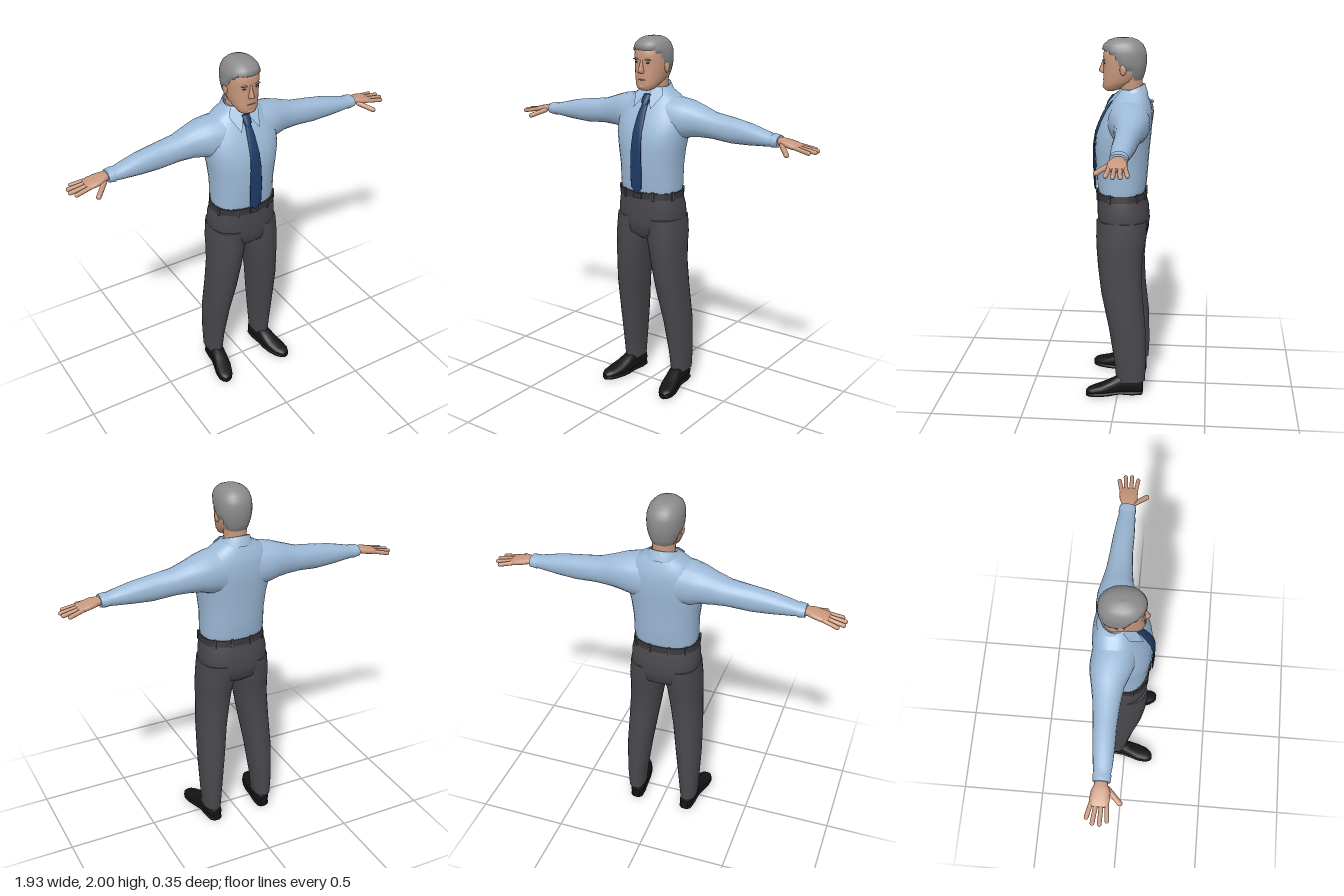
import * as THREE from 'three';

const mat = (name, color, side = THREE.FrontSide) => {
  const m = new THREE.MeshStandardMaterial({ color, side });
  m.name = name;
  return m;
};

// One superellipse ring across an axis. Row: [position, c0, c1, s0, s1];
// (c, s) are (z, x) for axis y, (y, z) for axis x and (x, y) for axis z.
function ring(axis, [pos, c0, c1, s0, s1], n, p) {
  const sup = (v) => Math.sign(v) * Math.pow(Math.abs(v), 2 / p);
  return Array.from({ length: n }, (_, j) => {
    const t = (j / n) * Math.PI * 2;
    const c = (c0 + c1) / 2 + sup(Math.cos(t)) * (c1 - c0) / 2;
    const s = (s0 + s1) / 2 + sup(Math.sin(t)) * (s1 - s0) / 2;
    if (axis === 'y') return new THREE.Vector3(s, pos, c);
    if (axis === 'x') return new THREE.Vector3(pos, c, s);
    return new THREE.Vector3(c, s, pos);
  });
}

// Skin over rings, with flat end caps
function skin(rings, caps = true) {
  const n = rings[0].length, pos = [], idx = [];
  rings.forEach((r) => r.forEach((v) => pos.push(v.x, v.y, v.z)));
  for (let i = 0; i < rings.length - 1; i++) {
    for (let j = 0; j < n; j++) {
      const a = i * n + j, b = i * n + (j + 1) % n;
      idx.push(a, b, b + n, a, b + n, a + n);
    }
  }
  if (caps) [rings[0], rings[rings.length - 1]].forEach((r, end) => {
    const base = pos.length / 3, mid = new THREE.Vector3();
    r.forEach((v) => { mid.add(v); pos.push(v.x, v.y, v.z); });
    mid.divideScalar(n);
    pos.push(mid.x, mid.y, mid.z);
    for (let j = 0; j < n; j++) {
      const a = base + j, b = base + (j + 1) % n;
      idx.push(...(end ? [a, b, base + n] : [b, a, base + n]));
    }
  });
  const g = new THREE.BufferGeometry();
  g.setAttribute('position', new THREE.Float32BufferAttribute(pos, 3));
  g.setIndex(idx);
  g.computeVertexNormals();
  return g;
}

const loft = (axis, rows, n = 24, p = 2.2) => skin(rows.map((r) => ring(axis, r, n, p)));
// Rows symmetric about x = 0: [y, back, front, half width]
const upright = (rows, n, p) => loft('y', rows.map(([y, b, f, w]) => [y, b, f, -w, w]), n, p);

function mirrored(geo) {
  const g = geo.clone().scale(-1, 1, 1), ix = g.index;
  for (let i = 0; i < ix.count; i += 3) {
    const a = ix.getX(i);
    ix.setX(i, ix.getX(i + 1));
    ix.setX(i + 1, a);
  }
  return g;
}

// Rounded stick whose ends lie at a and b
function stick(a, b, r) {
  const A = new THREE.Vector3(...a), B = new THREE.Vector3(...b), d = B.clone().sub(A);
  const g = new THREE.CapsuleGeometry(r, d.length() - 2 * r, 4, 10);
  g.applyQuaternion(new THREE.Quaternion().setFromUnitVectors(new THREE.Vector3(0, 1, 0), d.clone().normalize()));
  const m = A.add(B).multiplyScalar(0.5);
  return g.translate(m.x, m.y, m.z);
}

const blob = (x, y, z, rx, ry, rz) => new THREE.SphereGeometry(1, 16, 10).scale(rx, ry, rz).translate(x, y, z);

export function createModel() {
  const model = new THREE.Group();
  const shirt = mat('shirt blue', 0x9dbad8), collarMat = mat('collar blue', 0xa3bfdc, THREE.DoubleSide);
  const cloth = mat('trouser grey', 0x49474c), belt = mat('belt grey', 0x353438);
  const flesh = mat('skin', 0xc9987d), lip = mat('lip', 0xa06c58);
  const hairMat = mat('hair grey', 0x8b8b8d), tieMat = mat('tie navy', 0x1d3b66, THREE.DoubleSide);
  const black = mat('shoe black', 0x141415), eyeMat = mat('eye dark', 0x3d2c26);
  const add = (name, geo, material) => {
    const m = new THREE.Mesh(geo, material);
    m.name = name;
    model.add(m);
  };
  const pair = (name, geo, material) => {
    add(name + 'Left', geo, material);
    add(name + 'Right', mirrored(geo), material);
  };

  // Shirt body and sleeves
  add('shirtBody', upright([
    [1.155, -0.132, 0.115, 0.172], [1.2, -0.145, 0.124, 0.178], [1.3, -0.153, 0.131, 0.178],
    [1.4, -0.16, 0.137, 0.19], [1.48, -0.168, 0.13, 0.205], [1.55, -0.174, 0.106, 0.208],
    [1.61, -0.172, 0.076, 0.195], [1.65, -0.163, 0.05, 0.172], [1.685, -0.15, 0.03, 0.135],
    [1.71, -0.138, 0.015, 0.09], [1.73, -0.128, 0.0, 0.068]], 32, 2.35), shirt);
  pair('sleeve', loft('x', [
    [0.08, 1.44, 1.69, -0.165, 0.06], [0.16, 1.45, 1.68, -0.172, 0.055], [0.22, 1.47, 1.668, -0.168, 0.035],
    [0.28, 1.478, 1.648, -0.155, 0.012], [0.36, 1.48, 1.62, -0.14, 0], [0.48, 1.47, 1.605, -0.128, -0.008],
    [0.58, 1.475, 1.588, -0.12, -0.008], [0.68, 1.484, 1.562, -0.108, -0.012], [0.715, 1.487, 1.552, -0.102, -0.017],
    [0.72, 1.483, 1.556, -0.106, -0.013], [0.757, 1.488, 1.55, -0.102, -0.016]], 20), shirt);

  // Collar: a stand dipping at the front, with two folded points
  const band = (rx, rz, y, drop) => ring('y', [y, -0.06 - rz, -0.06 + rz, -rx, rx], 28, 2)
    .map((v) => v.setY(y - drop * (v.z + 0.06 + rz) / (2 * rz)));
  add('collar', skin([band(0.096, 0.09, 1.705, 0.04), band(0.074, 0.073, 1.757, 0.05),
    band(0.066, 0.066, 1.757, 0.05), band(0.064, 0.064, 1.7, 0.03)], false), collarMat);
  const flap = new THREE.BufferGeometry();
  flap.setAttribute('position', new THREE.Float32BufferAttribute(
    [0.008, 1.7, 0.03, 0.054, 1.625, 0.088, 0.088, 1.69, 0.022, 0.066, 1.728, -0.012], 3));
  flap.setIndex([0, 1, 2, 0, 2, 3]);
  flap.computeVertexNormals();
  pair('collarPoint', flap, collarMat);

  // Tie and knot
  add('tie', upright([
    [1.165, 0.134, 0.142, 0.004], [1.2, 0.134, 0.145, 0.036], [1.31, 0.138, 0.149, 0.037],
    [1.42, 0.136, 0.149, 0.033], [1.5, 0.122, 0.137, 0.029], [1.55, 0.1, 0.118, 0.026],
    [1.6, 0.075, 0.094, 0.022], [1.645, 0.045, 0.069, 0.016]], 12, 3), tieMat);
  add('tieKnot', upright([[1.635, 0.04, 0.076, 0.015], [1.66, 0.025, 0.07, 0.022], [1.695, 0.0, 0.045, 0.024]], 12, 2.5), tieMat);

  // Trousers: seat and creased legs
  add('trouserSeat', upright([
    [0.89, -0.1, 0.07, 0.06], [0.93, -0.15, 0.114, 0.17], [1.0, -0.164, 0.123, 0.195],
    [1.08, -0.157, 0.125, 0.191], [1.14, -0.141, 0.124, 0.18], [1.172, -0.136, 0.121, 0.175]], 32, 2.4), cloth);
  const legRings = [
    [0.085, -0.15, 0.0, 0.115, 0.211], [0.2, -0.155, 0.012, 0.105, 0.217], [0.4, -0.15, 0.044, 0.08, 0.222],
    [0.6, -0.13, 0.087, 0.052, 0.215], [0.75, -0.125, 0.106, 0.028, 0.208], [0.85, -0.133, 0.114, 0.012, 0.206],
    [0.92, -0.148, 0.117, -0.002, 0.205], [1.02, -0.15, 0.115, 0, 0.195]].map((r) => ring('y', r, 24, 2.3));
  legRings.forEach((r) => { r[0].z += 0.008; r[12].z -= 0.005; });
  pair('trouserLeg', skin(legRings), cloth);

  // Belt, buckle and loops
  add('belt', upright([[1.135, -0.146, 0.127, 0.184], [1.17, -0.14, 0.125, 0.179]], 32, 2.4), belt);
  add('buckle', new THREE.BoxGeometry(0.05, 0.032, 0.008).translate(0, 1.152, 0.128), belt);
  for (const t of [0.45, 1.25, 2.3, 2.9]) {
    const [x, z] = [Math.sin(t), Math.cos(t)].map((v) => Math.sign(v) * Math.pow(Math.abs(v), 2 / 2.4));
    pair('beltLoop', new THREE.BoxGeometry(0.014, 0.05, 0.01).rotateY(t)
      .translate(x * 0.182, 1.153, -0.0085 + z * 0.136), cloth);
  }

  // Shoes, toes turned outward, on a sole and heel
  const shoe = [[-0.142, 0.155, 0.02, 0.075], [-0.13, 0.156, 0.034, 0.1], [-0.08, 0.159, 0.04, 0.115],
    [-0.01, 0.165, 0.042, 0.115], [0.04, 0.174, 0.046, 0.088], [0.09, 0.186, 0.05, 0.066],
    [0.14, 0.197, 0.043, 0.052], [0.165, 0.202, 0.029, 0.044], [0.177, 0.204, 0.012, 0.032]];
  pair('shoe', loft('z', shoe.map(([z, x, w, h]) => [z, x - w, x + w, 0.008, h]), 20, 2.5), black);
  pair('sole', loft('z', shoe.map(([z, x, w]) => [z, x - w - 0.002, x + w + 0.002, z > -0.03 && z < 0.01 ? 0.008 : 0, 0.024]), 16, 4), black);

  // Hands: palm, four fingers, thumb
  pair('palm', loft('x', [
    [0.735, 1.502, 1.54, -0.086, -0.034], [0.77, 1.501, 1.54, -0.094, -0.026], [0.8, 1.496, 1.536, -0.106, -0.012],
    [0.84, 1.49, 1.526, -0.111, -0.012], [0.868, 1.49, 1.517, -0.109, -0.015], [0.876, 1.497, 1.511, -0.1, -0.024]], 16, 2.5), flesh);
  [[-0.098, 0.938, -0.12], [-0.074, 0.964, -0.088], [-0.05, 0.967, -0.052], [-0.026, 0.948, -0.016]]
    .forEach(([z, tipX, tipZ]) => pair('finger', stick([0.845, 1.507, z], [tipX, 1.488, tipZ], 0.0115), flesh));
  pair('thumb', stick([0.775, 1.512, -0.035], [0.853, 1.474, 0.046], 0.0135), flesh);

  // Neck and head
  add('neck', upright([[1.66, -0.118, 0, 0.06], [1.74, -0.118, 0.002, 0.06], [1.81, -0.118, 0.01, 0.064]], 20, 2), flesh);
  const headRows = [
    [1.718, 0.03, 0.074, 0.026], [1.728, 0.0, 0.087, 0.046], [1.75, -0.035, 0.093, 0.061], [1.775, -0.085, 0.091, 0.072],
    [1.81, -0.115, 0.091, 0.08], [1.84, -0.126, 0.089, 0.084], [1.87, -0.13, 0.089, 0.086], [1.9, -0.13, 0.092, 0.087],
    [1.93, -0.128, 0.088, 0.084], [1.955, -0.118, 0.076, 0.076], [1.975, -0.1, 0.055, 0.06], [1.985, -0.07, 0.03, 0.035]];
  add('head', upright(headRows, 32, 2.3), flesh);

  // Hair: swells outside the head behind the hairline angle, sinks inside it in front
  const hairRows = [
    [1.768, -0.105, 0.06, 0.062, 2.3], [1.785, -0.122, 0.08, 0.073, 2.15], [1.815, -0.132, 0.09, 0.084, 1.9],
    [1.845, -0.138, 0.092, 0.091, 1.5], [1.87, -0.141, 0.093, 0.094, 1.3], [1.9, -0.141, 0.096, 0.095, 1.2],
    [1.925, -0.138, 0.097, 0.094, 0.85], [1.94, -0.133, 0.098, 0.091, 0], [1.965, -0.12, 0.088, 0.083, 0],
    [1.985, -0.097, 0.064, 0.065, 0], [1.996, -0.068, 0.034, 0.042, 0], [2.0, -0.04, 0.005, 0.018, 0]];
  add('hair', skin(hairRows.map(([y, b, f, w, limit]) => ring('y', [y, b, f, -w, w], 40, 2.25).map((v, j) => {
    const t = Math.min(j, 40 - j) / 40 * Math.PI * 2, mid = (b + f) / 2;
    return t < limit ? v.set(v.x * 0.82, y, mid + (v.z - mid) * 0.82) : v;
  }))), hairMat);

  // Facial features
  add('nose', upright([[1.812, 0.06, 0.1, 0.014], [1.82, 0.06, 0.115, 0.018], [1.832, 0.06, 0.114, 0.014],
    [1.86, 0.06, 0.103, 0.009], [1.885, 0.06, 0.094, 0.009]], 12, 2), flesh);
  pair('ear', blob(0.087, 1.84, -0.022, 0.01, 0.03, 0.018), flesh);
  pair('brow', blob(0.036, 1.885, 0.084, 0.022, 0.005, 0.007), hairMat);
  pair('eye', blob(0.034, 1.868, 0.08, 0.013, 0.004, 0.006), eyeMat);
  add('mouth', blob(0, 1.778, 0.088, 0.026, 0.0035, 0.006), lip);
  add('chin', blob(0, 1.742, 0.08, 0.024, 0.016, 0.016), flesh);
  return model;
}
